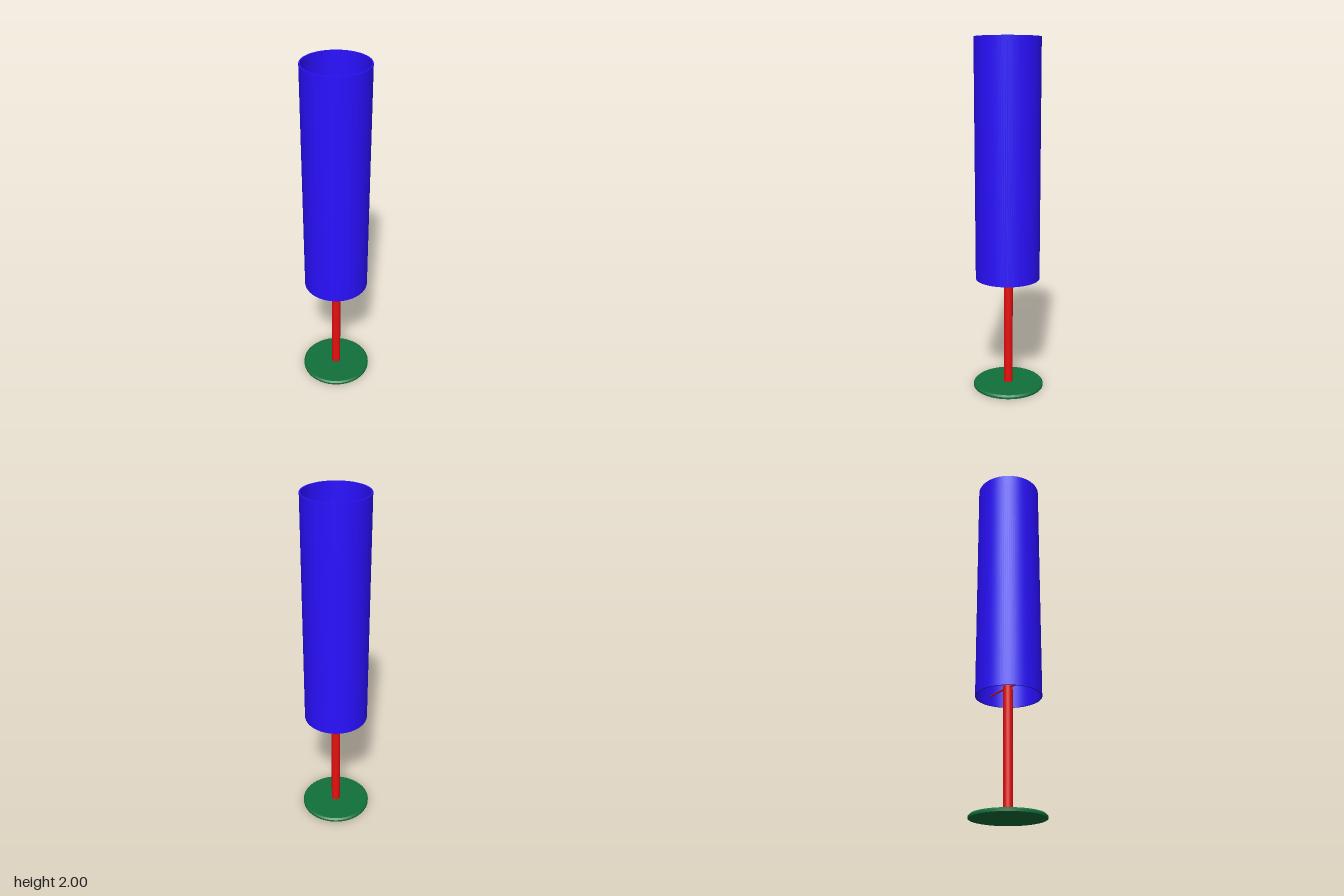
import * as THREE from 'three';

const material = (color) => new THREE.MeshStandardMaterial({ color });

// Lathe with hard edges: each profile segment becomes its own smooth band
function band(group, name, mat, points, segments = 64) {
  const part = new THREE.Group();
  part.name = name;
  for (let i = 0; i < points.length - 1; i++) {
    const pair = [points[i], points[i + 1]].map(([r, y]) => new THREE.Vector2(r, y));
    const mesh = new THREE.Mesh(new THREE.LatheGeometry(pair, segments), mat);
    mesh.name = `${name}Surface`;
    part.add(mesh);
  }
  group.add(part);
  return part;
}

export function createModel() {
  const lamp = new THREE.Group();
  lamp.name = 'floorLamp';
  const green = material(0x10703a);
  const red = material(0xe81010);
  const blue = material(0x2a10ff);

  // Round foot with a chamfered upper edge
  band(lamp, 'base', green, [[0, 0], [0.204, 0], [0.204, 0.011], [0.195, 0.02], [0, 0.02]]);

  // Upright pole
  const poleTop = 0.75;
  const pole = new THREE.Mesh(new THREE.CylinderGeometry(0.026, 0.026, poleTop - 0.02, 40), red);
  pole.name = 'pole';
  pole.position.y = (poleTop + 0.02) / 2;
  lamp.add(pole);

  // Two thin arms joining the pole to the shade
  const armHeight = 0.71;
  const ends = { rightArm: [-0.18, 0], leftArm: [0.171, 0.035] };
  for (const [name, [x, z]] of Object.entries(ends)) {
    const length = Math.hypot(x, z);
    const arm = new THREE.Mesh(new THREE.CylinderGeometry(0.005, 0.005, length, 16), red);
    arm.name = name;
    arm.position.set(x / 2, armHeight, z / 2);
    arm.quaternion.setFromUnitVectors(
      new THREE.Vector3(0, 1, 0), new THREE.Vector3(x, 0, z).normalize());
    lamp.add(arm);
  }

  // Tall open tube shade with a thin wall
  const outer = 0.183, inner = 0.175, bottom = 0.655, top = 2;
  const shade = band(lamp, 'shade', blue,
    [[inner, bottom], [outer, bottom], [outer, top], [inner, top], [inner, bottom]], 96);
  shade.position.set(-0.003, 0, 0.002);

  return lamp;
}
